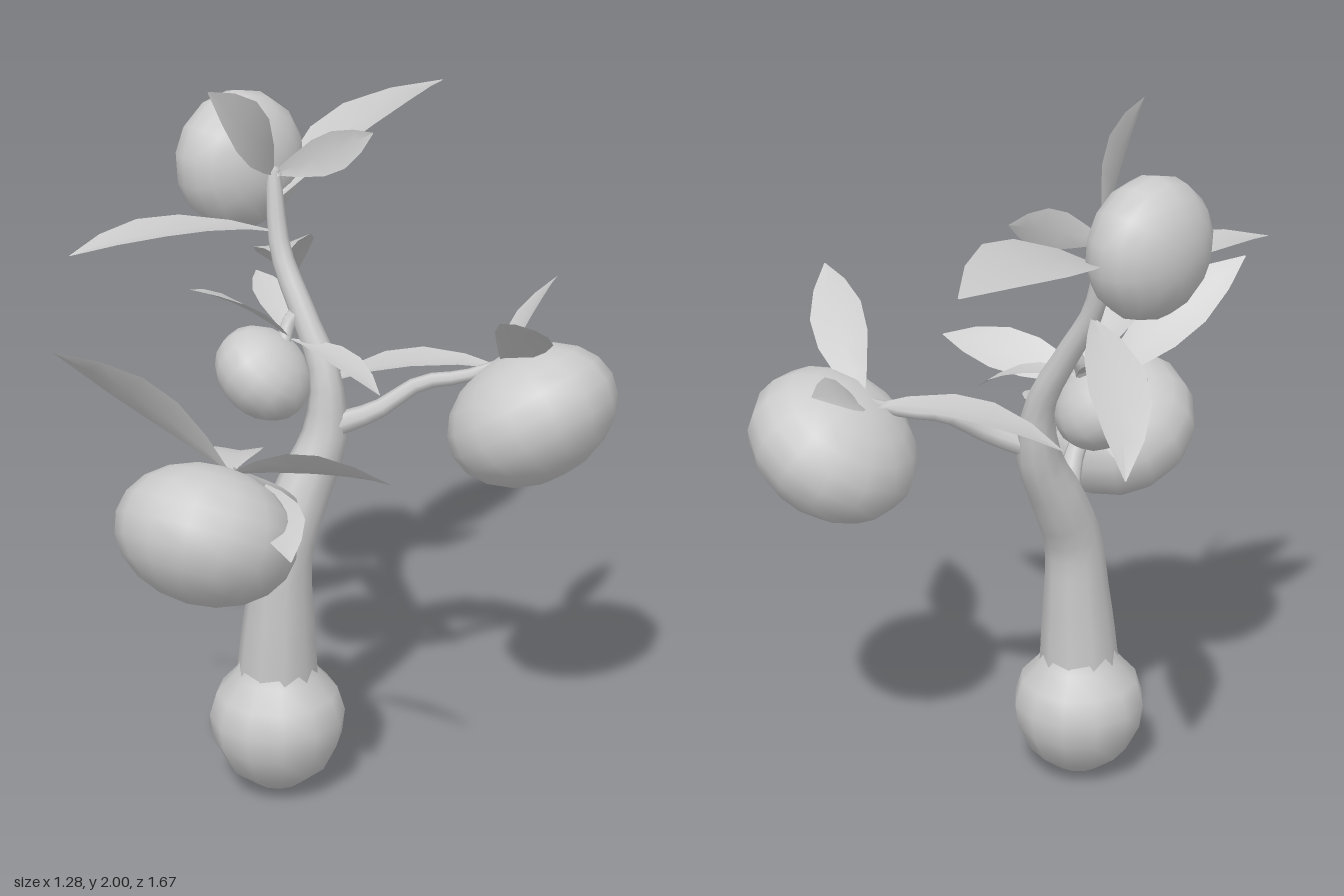
import * as THREE from 'three';

const V = (p) => new THREE.Vector3(...p);
const grey = new THREE.MeshStandardMaterial({ color: 0xcccccc });
const leafMaterial = new THREE.MeshStandardMaterial({ color: 0xcccccc, side: THREE.DoubleSide });

// Tube along a curve whose radius follows an evenly spaced list
function taperedTube(name, points, radii, steps, sides) {
  const curve = new THREE.CatmullRomCurve3(points.map(V));
  const geo = new THREE.TubeGeometry(curve, steps, 1, sides);
  const pos = geo.attributes.position;
  const v = new THREE.Vector3();
  for (let i = 0; i <= steps; i++) {
    const centre = curve.getPointAt(i / steps);
    const f = (i / steps) * (radii.length - 1);
    const k = Math.min(Math.floor(f), radii.length - 2);
    const r = THREE.MathUtils.lerp(radii[k], radii[k + 1], f - k);
    for (let j = 0; j <= sides; j++) {
      const n = i * (sides + 1) + j;
      v.fromBufferAttribute(pos, n).sub(centre).multiplyScalar(r).add(centre);
      pos.setXYZ(n, v.x, v.y, v.z);
    }
  }
  const mesh = new THREE.Mesh(geo, grey);
  mesh.name = name;
  return mesh;
}

// Flattened sphere with its short axis turned toward the stem
function fruit(name, centre, axis, radius, halfHeight) {
  const geo = new THREE.SphereGeometry(1, 14, 10);
  geo.scale(radius, halfHeight, radius);
  const mesh = new THREE.Mesh(geo, grey);
  mesh.name = name;
  mesh.quaternion.setFromUnitVectors(new THREE.Vector3(0, 1, 0), V(axis).normalize());
  mesh.position.set(...centre);
  return mesh;
}

// Pointed blade: cross-sections of three points along an arched midrib
function leaf(name, base, tip, width, arch, facing = [0, 1, 0]) {
  const a = V(base), b = V(tip);
  const along = b.clone().sub(a).normalize();
  const side = along.clone().cross(V(facing)).normalize();
  const up = side.clone().cross(along);
  const profile = [[0, 0.06], [0.2, 0.55], [0.42, 0.96], [0.62, 1], [0.82, 0.62], [1, 0.02]];
  const pos = [], index = [];
  profile.forEach(([t, w], i) => {
    const mid = a.clone().lerp(b, t).addScaledVector(up, arch * 4 * t * (1 - t));
    for (const s of [-1, 0, 1]) {
      const p = mid.clone().addScaledVector(side, s * w * width / 2);
      p.addScaledVector(up, Math.abs(s) * w * width * 0.08);
      pos.push(p.x, p.y, p.z);
    }
    if (i === 0) return;
    for (const j of [0, 1]) {
      const q = (i - 1) * 3 + j;
      index.push(q, q + 1, q + 3, q + 1, q + 4, q + 3);
    }
  });
  const geo = new THREE.BufferGeometry();
  geo.setAttribute('position', new THREE.Float32BufferAttribute(pos, 3));
  geo.setIndex(index);
  geo.computeVertexNormals();
  const mesh = new THREE.Mesh(geo, leafMaterial);
  mesh.name = name;
  return mesh;
}

export function createModel() {
  const model = new THREE.Group();
  model.name = 'fruitingPlant';

  // Swollen root
  const profile = [[0, 0.005], [0.07, 0.025], [0.14, 0.08], [0.18, 0.16], [0.189, 0.23], [0.168, 0.3], [0.118, 0.355], [0.1, 0.4]];
  const bulb = new THREE.Mesh(
    new THREE.LatheGeometry(profile.map(([x, y]) => new THREE.Vector2(x, y)), 12), grey);
  bulb.name = 'rootBulb';
  bulb.position.set(-0.19, 0, 0.2);
  model.add(bulb);

  // Trunk, thinning toward the top
  model.add(taperedTube('trunk', [
    [-0.19, 0.33, 0.2], [-0.18, 0.55, 0.2], [-0.17, 0.73, 0.19], [-0.14, 0.88, 0.13],
    [-0.1, 1.03, 0.07], [-0.11, 1.19, 0.045], [-0.19, 1.35, 0.015], [-0.27, 1.5, -0.02], [-0.31, 1.71, -0.06],
  ], [0.115, 0.103, 0.088, 0.08, 0.076, 0.062, 0.044, 0.036, 0.032, 0.027, 0.02], 24, 10));

  // Fruit-bearing branches
  model.add(
    taperedTube('frontBranch', [[-0.15, 0.83, 0.18], [-0.14, 0.93, 0.3], [-0.155, 1.01, 0.42], [-0.16, 1.08, 0.53]],
      [0.04, 0.03, 0.024, 0.018], 8, 7),
    taperedTube('leftBranch', [[-0.09, 1.05, 0.07], [0.03, 1.1, 0.02], [0.13, 1.17, -0.05], [0.24, 1.19, -0.1], [0.34, 1.23, -0.15]],
      [0.035, 0.025, 0.02, 0.015], 10, 7),
    taperedTube('smallBranch', [[-0.19, 1.36, 0.015], [-0.22, 1.32, 0.04], [-0.22, 1.25, 0.08]],
      [0.025, 0.02, 0.018], 6, 7),
    taperedTube('topStem', [[-0.3, 1.69, -0.06], [-0.32, 1.72, -0.065], [-0.37, 1.72, -0.08]],
      [0.02, 0.018, 0.016], 4, 7));

  // Fruits
  model.add(
    fruit('frontFruit', [-0.185, 0.93, 0.61], [0.06, 0.86, -0.5], 0.24, 0.183),
    fruit('leftFruit', [0.418, 1.09, -0.145], [-0.54, 0.84, -0.05], 0.243, 0.182),
    fruit('topFruit', [-0.435, 1.715, -0.11], [0.88, 0.05, 0.45], 0.192, 0.142),
    fruit('smallFruit', [-0.268, 1.19, 0.1], [0.6, 0.72, -0.2], 0.142, 0.115));

  // Leaves: base, tip, width, arch, facing
  const frontTip = [-0.16, 1.07, 0.52], leftTip = [0.33, 1.21, -0.15];
  const smallTip = [-0.21, 1.28, 0.05], topTip = [-0.31, 1.7, -0.06];
  const leaves = {
    frontLeaf: [
      [frontTip, [-0.53, 1.42, 0.75], 0.16, 0.03, [0, 0.55, -0.83]],
      [frontTip, [0.33, 1.15, 0.6], 0.14, 0.03, [0, 0.75, -0.65]],
      [[-0.14, 0.99, 0.37], [0.11, 0.95, 0.72], 0.13, 0.02],
      [frontTip, [-0.28, 0.99, 0.2], 0.13, 0.03],
    ],
    leftLeaf: [
      [leftTip, [-0.2, 1.1, -0.05], 0.17, 0.05],
      [leftTip, [0.56, 1.47, 0.23], 0.15, 0.02, [0.1, 0.74, -0.6]],
      [leftTip, [0.35, 1.37, -0.5], 0.12, 0.02, [-0.6, 0.8, 0]],
    ],
    smallLeaf: [
      [smallTip, [-0.37, 1.48, 0.32], 0.12, 0.02],
      [smallTip, [0.09, 1.19, 0.13], 0.1, 0.03],
      [smallTip, [-0.41, 1.39, -0.15], 0.1, 0.02],
    ],
    trunkLeaf: [
      [[-0.27, 1.48, -0.03], [-0.48, 1.25, -0.54], 0.17, 0.06, [-0.25, 1, 0]],
      [[-0.28, 1.55, -0.03], [-0.64, 1.58, 0.47], 0.18, 0.04],
    ],
    topLeaf: [
      [[-0.3, 1.63, -0.05], [-0.14, 1.8, -0.84], 0.24, 0.05, [-0.2, 1, 0]],
      [topTip, [-0.33, 2, 0.27], 0.15, 0.03, [1, 0, 0.1]],
      [topTip, [-0.1, 1.79, -0.25], 0.11, 0.02, [0.7, 0.15, 0.7]],
    ],
  };
  for (const [name, list] of Object.entries(leaves)) {
    list.forEach((args, i) => model.add(leaf(name + (i + 1), ...args)));
  }
  return model;
}
